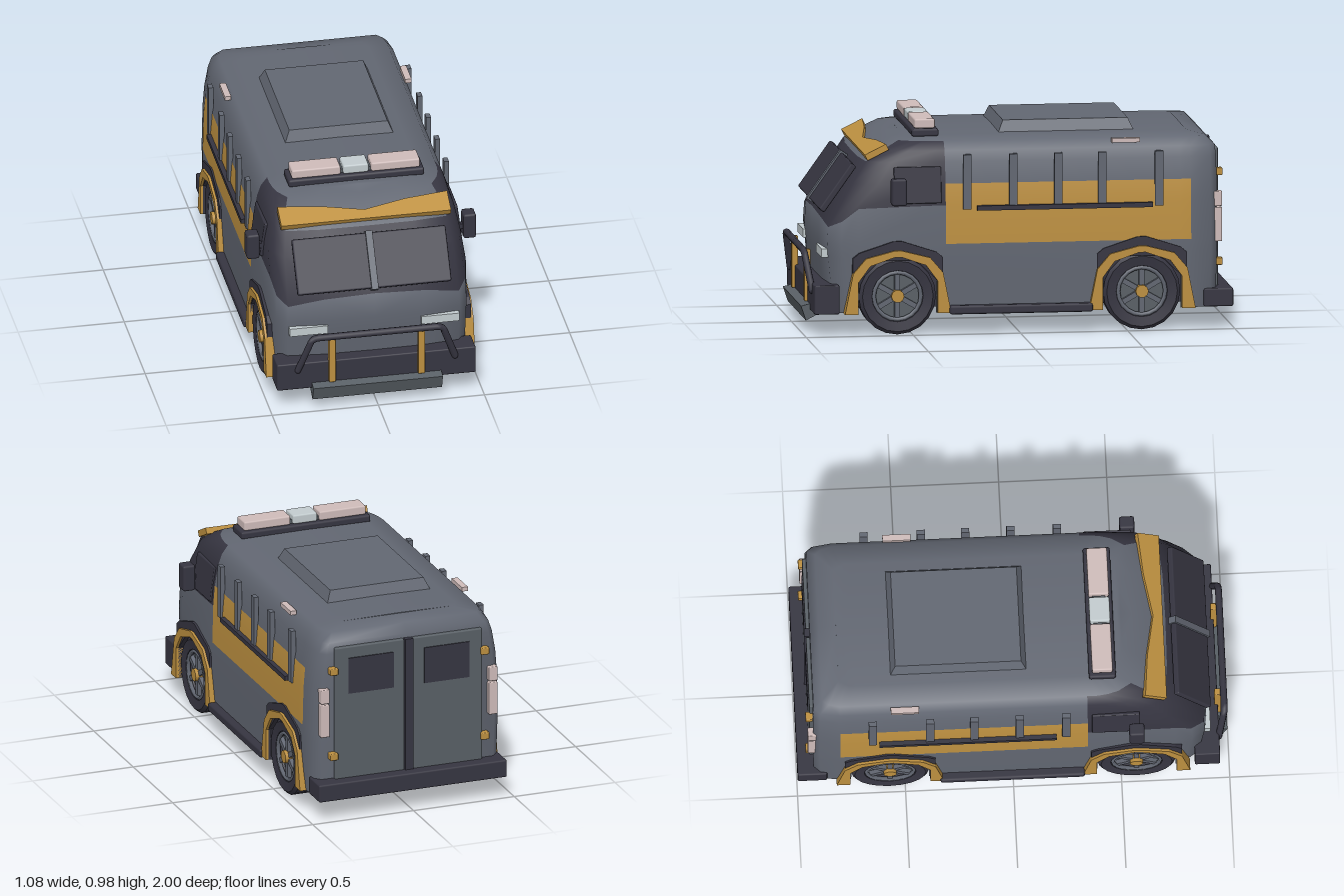
import * as THREE from 'three';
import { toCreasedNormals } from 'three/addons/utils/BufferGeometryUtils.js';
import { RoundedBoxGeometry } from 'three/addons/geometries/RoundedBoxGeometry.js';

const mat = (name, color) => Object.assign(new THREE.MeshStandardMaterial({ color }), { name });

export function createModel() {
  const grey = mat('body grey', 0x626772), steel = mat('steel grey', 0x596066);
  const navy = mat('dark trim', 0x363541), gold = mat('ochre', 0xbd9040);
  const pink = mat('pale pink lens', 0xcfbcba), white = mat('pale lens', 0xc3cccf);
  const root = new THREE.Group();
  root.name = 'van';

  const add = (name, geo, m, x = 0, y = 0, z = 0, parent = root) => {
    const mesh = new THREE.Mesh(geo, m);
    mesh.name = name;
    mesh.position.set(x, y, z);
    parent.add(mesh);
    return mesh;
  };
  // box given by its min and max on each axis
  const box = (name, m, x0, x1, y0, y1, z0, z1, r = 0) => add(name,
    r ? new RoundedBoxGeometry(x1 - x0, y1 - y0, z1 - z0, 1, r) : new THREE.BoxGeometry(x1 - x0, y1 - y0, z1 - z0),
    m, (x0 + x1) / 2, (y0 + y1) / 2, (z0 + z1) / 2);
  // the same box on both sides
  const pair = (name, m, x0, x1, ...rest) => {
    box(name + 'Left', m, x0, x1, ...rest);
    box(name + 'Right', m, -x1, -x0, ...rest);
  };
  const polygon = pts => new THREE.Shape(pts.map(p => new THREE.Vector2(...p)));

  // ---- body shell: horizontal rings [height, half width, front z, back z]
  const rings = [
    [0.1, 0, 0.88, -0.92], [0.1, 0.465, 0.88, -0.92], [0.36, 0.472, 0.905, -0.925], [0.42, 0.472, 0.91, -0.925],
    [0.6, 0.468, 0.905, -0.925], [0.7, 0.46, 0.79, -0.925], [0.8, 0.442, 0.725, -0.925], [0.85, 0.425, 0.645, -0.92],
    [0.89, 0.395, 0.57, -0.88], [0.905, 0.3, 0.52, -0.8], [0.908, 0, 0.52, -0.8],
  ];
  // columns from front centre along the side to rear centre: width factor and z
  const columns = [
    [0, f => f], [0.5, f => f - 0.003], [0.86, f => f - 0.02], [0.95, f => f - 0.08],
    [0.985, f => Math.min(0.75, f - 0.13)], [1, f => Math.min(0.39, f - 0.16)], [1, f => Math.min(0.345, f - 0.19)],
    [1, () => -0.39], [1, (f, b) => Math.max(-0.75, b + 0.08)], [1, (f, b) => Math.max(-0.8, b + 0.05)],
    [0.97, (f, b) => b + 0.03], [0.91, (f, b) => b], [0, (f, b) => b],
  ];
  const beltDrop = [0.06, 0.07, 0.1, 0.07, 0.01]; // cab belt line dips toward the nose
  const point = (r, c, s) => {
    const [y, w, f, b] = rings[r], [k, z] = columns[c];
    return [s * w * k, y - (r === 4 ? beltDrop[c] || 0 : 0), z(f, b)];
  };
  const cellColour = (r, c) => {
    if (r === 0) return 1;
    if (r === 1 && (c === 4 || c === 7)) return -1; // wheel openings
    if ((r === 3 || r === 4) && c >= 6 && c <= 8) return 2;
    if ((r === 4 || r === 5) && c <= 5) return 1;
    if ((r === 6 || r === 7) && c >= 2 && c <= 5) return 1;
    return 0;
  };
  const faces = [[], [], []];
  for (let r = 0; r < rings.length - 1; r++) for (let c = 0; c < columns.length - 1; c++) {
    const k = cellColour(r, c);
    if (k < 0) continue;
    for (const s of [1, -1]) {
      const a = point(r, c, s), b = point(r, c + 1, s), e = point(r + 1, c + 1, s), d = point(r + 1, c, s);
      faces[k].push(...(s > 0 ? [a, b, e, a, e, d] : [a, e, b, a, d, e]));
    }
  }
  const shell = new THREE.BufferGeometry();
  shell.setAttribute('position', new THREE.Float32BufferAttribute(faces.flat(2), 3));
  let start = 0;
  faces.forEach((f, i) => { shell.addGroup(start, f.length, i); start += f.length; });
  add('bodyShell', toCreasedNormals(shell, 1), [grey, navy, gold]);
  box('chassis', navy, -0.35, 0.35, 0.11, 0.45, -0.85, 0.82);

  // ---- windscreen, tilted with the nose
  const screen = new THREE.Group();
  screen.name = 'windscreen';
  screen.position.set(0, 0.675, 0.834);
  screen.rotation.x = -0.62;
  root.add(screen);
  for (const s of [1, -1]) add('windscreenPane', new RoundedBoxGeometry(0.35, 0.26, 0.03, 1, 0.008), navy, s * 0.187, 0, 0, screen);
  add('windscreenPillar', new THREE.BoxGeometry(0.032, 0.275, 0.045), grey, 0, 0, 0, screen);

  // ---- ochre brow above the windscreen, notched at the back
  const brow = add('brow', new THREE.ExtrudeGeometry(
    polygon([[-0.4, 0], [0.4, 0], [0.4, 0.11], [0.2, 0.09], [0, 0.05], [-0.2, 0.09], [-0.4, 0.11]]),
    { depth: 0.03, bevelEnabled: false }), gold, 0, 0.806, 0.7);
  brow.rotation.x = -Math.PI / 2 + 0.46;

  // ---- cab sides: windows and mirrors
  for (const s of [1, -1])
    add('cabWindow', new RoundedBoxGeometry(0.02, 0.17, 0.22, 1, 0.005), navy, s * 0.456, 0.695, 0.475).rotation.z = s * 0.13;
  pair('mirrorArm', navy, 0.43, 0.5, 0.655, 0.68, 0.56, 0.585);
  pair('mirror', navy, 0.48, 0.54, 0.61, 0.735, 0.535, 0.605, 0.01);

  // ---- side posts, rail and step
  for (const z of [0.245, 0.03, -0.18, -0.385, -0.65]) pair('sidePost', grey, 0.455, 0.478, 0.58, 0.835, z - 0.019, z + 0.019);
  pair('sideRail', navy, 0.46, 0.49, 0.575, 0.597, -0.62, 0.2);
  pair('sideStep', navy, 0.43, 0.503, 0.093, 0.133, -0.338, 0.33, 0.01);
  pair('roofMarker', pink, 0.41, 0.44, 0.872, 0.892, -0.565, -0.435);

  // ---- roof hatch with sloping sides and light bar
  const hatch = new THREE.BoxGeometry(0.52, 0.065, 0.64);
  const hp = hatch.attributes.position;
  for (let i = 0; i < hp.count; i++) if (hp.getY(i) > 0) hp.setXYZ(i, hp.getX(i) * 0.89, hp.getY(i), hp.getZ(i) * 0.91);
  hatch.computeVertexNormals();
  add('roofHatch', hatch, grey, 0, 0.925, -0.245);
  box('lightBarBase', navy, -0.32, 0.32, 0.9, 0.936, 0.357, 0.482, 0.01);
  pair('lightBarLens', pink, 0.072, 0.302, 0.936, 0.98, 0.372, 0.468, 0.008);
  box('lightBarCentre', white, -0.06, 0.06, 0.936, 0.98, 0.372, 0.468, 0.008);
  box('lightBarBracket', steel, -0.075, 0.075, 0.93, 0.955, 0.39, 0.45);

  // ---- nose: headlights, bumper, guard bar and skid plate
  pair('headlight', white, 0.22, 0.4, 0.358, 0.398, 0.86, 0.916);
  box('frontBumper', navy, -0.468, 0.468, 0.1, 0.235, 0.84, 0.957, 0.006);
  const barPath = new THREE.CurvePath();
  const bar = [[-0.37, 0.2, 0.955], [-0.31, 0.365, 0.982], [-0.29, 0.377, 0.984], [0.29, 0.377, 0.984], [0.31, 0.365, 0.982], [0.37, 0.2, 0.955]]
    .map(p => new THREE.Vector3(...p));
  for (let i = 0; i < 5; i++) barPath.add(new THREE.LineCurve3(bar[i], bar[i + 1]));
  add('guardBar', new THREE.TubeGeometry(barPath, 60, 0.016, 8), navy);
  for (const s of [1, -1]) add('guardBarEnd', new THREE.SphereGeometry(0.016, 8, 6), navy, s * 0.37, 0.2, 0.955);
  pair('guardUpright', gold, 0.194, 0.226, 0.128, 0.37, 0.942, 0.972, 0.005);
  const skid = new THREE.ExtrudeGeometry(polygon([[0.87, 0.105], [0.975, 0.05], [0.998, 0.118], [0.95, 0.13]]),
    { depth: 0.61, bevelEnabled: false });
  skid.rotateY(-Math.PI / 2);
  add('skidPlate', skid, steel, 0.305);

  // ---- rear: doors, windows, hinges, lights and bumper
  box('doorFrame', navy, -0.02, 0.02, 0.18, 0.83, -0.947, -0.91);
  pair('rearDoor', steel, 0.022, 0.365, 0.18, 0.83, -0.94, -0.91, 0.006);
  pair('rearWindow', navy, 0.075, 0.3, 0.6, 0.775, -0.945, -0.937);
  for (const y of [0.3, 0.72]) pair('hinge', gold, 0.355, 0.395, y - 0.017, y + 0.017, -0.958, -0.915, 0.005);
  pair('tailLightUpper', pink, 0.395, 0.438, 0.565, 0.635, -0.95, -0.89, 0.005);
  pair('tailLightLower', pink, 0.395, 0.438, 0.4, 0.56, -0.95, -0.89, 0.005);
  box('rearBumper', navy, -0.466, 0.466, 0.1, 0.185, -0.998, -0.86, 0.008);

  // ---- wheel arches and wheels
  const arch = (outer, inner, depth) => {
    const mirrored = pts => [...pts, ...pts.map(([z, y]) => [-z, y]).reverse()];
    const g = new THREE.ExtrudeGeometry(polygon([...mirrored(outer), ...mirrored(inner).reverse()]), { depth, bevelEnabled: false });
    return g.rotateY(Math.PI / 2);
  };
  const innerArch = [[0.185, 0.1], [0.185, 0.25], [0.085, 0.348]];
  const trimArch = arch([[0.21, 0.1], [0.21, 0.36], [0.18, 0.385], [0.02, 0.437]], innerArch, 0.045);
  const flareArch = arch([[0.248, 0.1], [0.21, 0.29], [0.15, 0.36], [0.015, 0.395]],
    [[0.185, 0.1], [0.185, 0.25], [0.13, 0.325], [0.015, 0.365]], 0.055);
  const tyre = toCreasedNormals(new THREE.LatheGeometry(
    [[0, -0.05], [0.1, -0.05], [0.165, -0.057], [0.18, -0.042], [0.18, 0.042], [0.165, 0.057], [0.12, 0.05], [0.11, 0.015], [0, 0.015]]
      .map(p => new THREE.Vector2(...p)), 20).rotateZ(-Math.PI / 2), 0.6);
  const disc = new THREE.CylinderGeometry(0.11, 0.11, 0.012, 20).rotateZ(Math.PI / 2);
  const rim = new THREE.TorusGeometry(0.11, 0.01, 6, 20).rotateY(Math.PI / 2);
  const hub = new THREE.CylinderGeometry(0.03, 0.03, 0.04, 10).rotateZ(Math.PI / 2);
  const spoke = new THREE.BoxGeometry(0.02, 0.09, 0.024).translate(0, 0.065, 0);
  for (const z of [0.57, -0.57]) {
    for (const s of [1, -1]) {
      add('archTrim', trimArch, navy, s > 0 ? 0.435 : -0.48, 0, z);
      add('archFlare', flareArch, gold, s > 0 ? 0.437 : -0.492, 0, z);
      const wheel = new THREE.Group();
      wheel.name = 'wheel';
      wheel.position.set(s * 0.418, 0.18, z);
      wheel.rotation.y = s > 0 ? 0 : Math.PI;
      root.add(wheel);
      add('tyre', tyre, navy, 0, 0, 0, wheel);
      add('rimDisc', disc, steel, 0.016, 0, 0, wheel);
      add('rimRing', rim, grey, 0.042, 0, 0, wheel);
      add('hub', hub, gold, 0.04, 0, 0, wheel);
      for (let i = 0; i < 6; i++) add('spoke', spoke, grey, 0.034, 0, 0, wheel).rotation.x = i * Math.PI / 3;
    }
  }
  return root;
}
